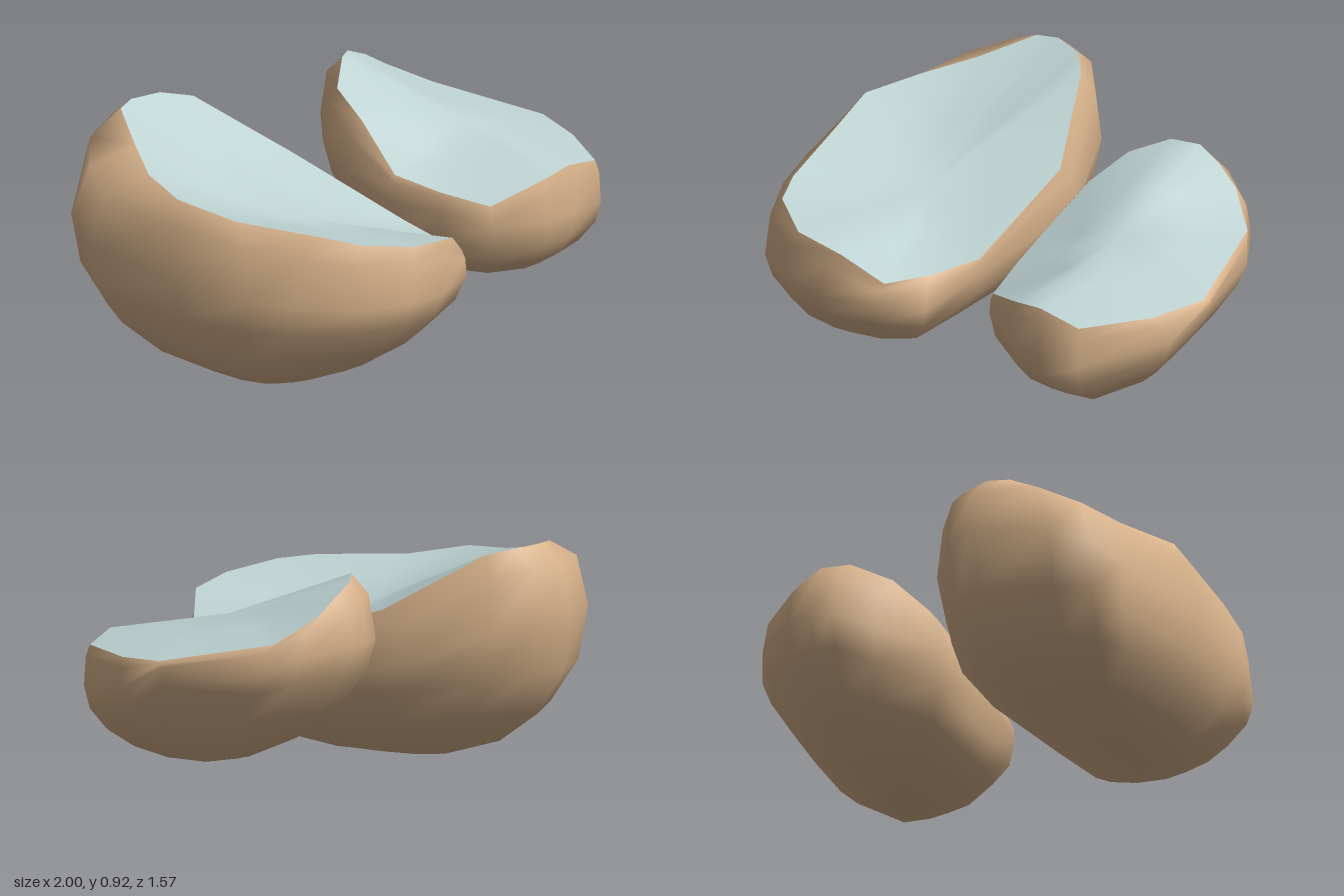
import * as THREE from 'three';
import { mergeVertices } from 'three/addons/utils/BufferGeometryUtils.js';

const shellMaterial = new THREE.MeshStandardMaterial({ color: 0xd9b48c });
const liningMaterial = new THREE.MeshStandardMaterial({ color: 0xbfd4d4 });

// Blend two points, with separate weights across (x, z) and up (y)
const blend = (a, b, across, up) => [
  a[0] + (b[0] - a[0]) * across,
  a[1] + (b[1] - a[1]) * up,
  a[2] + (b[2] - a[2]) * across,
];

// Skin a stack of closed rings; a ring collapsed to one point closes the end
function skin(rings) {
  const n = rings[0].length;
  const index = [];
  for (let i = 0; i < rings.length - 1; i++) {
    for (let j = 0; j < n; j++) {
      const a = i * n + j, b = i * n + (j + 1) % n;
      index.push(a, b, b + n, a, b + n, a + n);
    }
  }
  let geometry = new THREE.BufferGeometry();
  geometry.setAttribute('position', new THREE.Float32BufferAttribute(rings.flat(2), 3));
  geometry.setIndex(index);
  geometry = mergeVertices(geometry);
  geometry.computeVertexNormals();
  return geometry;
}

// One broken half: rounded outer shell up to a wavy rim, shallow lining across it
function makeHalf(name, { rim, belly, keel, floor }) {
  // Below the belly each column is a superellipse; its 4th value is the fullness
  const outer = [0, 0.2, 0.4, 0.6, 0.8, 1].map((t) => {
    const a = t * Math.PI / 2;
    return belly.map((p) => blend(keel, p,
      Math.sin(a) ** (2 / p[3]), 1 - Math.max(0, Math.cos(a)) ** (2 / p[3])));
  });
  for (const t of [0.5, 1]) {
    const a = t * Math.PI / 2;
    outer.push(belly.map((p, j) => blend(p, rim[j], 1 - Math.cos(a), Math.sin(a))));
  }
  const inner = [1, 0.5, 0].map((s) => rim.map((p) => blend(floor, p, s, s)));

  const half = new THREE.Group();
  half.name = name;
  const shell = new THREE.Mesh(skin(outer), shellMaterial);
  shell.name = 'outerShell';
  const lining = new THREE.Mesh(skin(inner), liningMaterial);
  lining.name = 'innerLining';
  half.add(shell, lining);
  return half;
}

// Loops run from the back, round by -x to the front, and back by +x
const large = {
  rim: [
    [-0.45, 0.91, -0.67], [-0.54, 0.9, -0.65], [-0.68, 0.83, -0.48], [-0.82, 0.78, -0.31],
    [-0.92, 0.75, -0.1], [-0.88, 0.7, 0.14], [-0.79, 0.68, 0.48], [-0.73, 0.66, 0.62],
    [-0.55, 0.63, 0.74], [-0.33, 0.61, 0.75], [-0.18, 0.51, 0.68], [-0.1, 0.5, 0.5],
    [-0.03, 0.51, 0.3], [-0.05, 0.68, -0.2], [-0.23, 0.89, -0.54], [-0.32, 0.91, -0.63],
  ],
  belly: [
    [-0.45, 0.66, -0.79, 2.3], [-0.75, 0.62, -0.7, 2.2], [-0.88, 0.58, -0.63, 2.1],
    [-0.95, 0.5, -0.5, 2.1], [-1, 0.45, -0.05, 2.1], [-0.96, 0.42, 0.25, 2],
    [-0.91, 0.42, 0.42, 1.8], [-0.78, 0.42, 0.66, 1.6], [-0.6, 0.42, 0.76, 1.6],
    [-0.42, 0.42, 0.78, 1.6], [-0.2, 0.42, 0.72, 1.6], [-0.07, 0.38, 0.57, 1.6],
    [-0.03, 0.44, 0.3, 1.6], [-0.05, 0.48, -0.3, 1.7], [-0.18, 0.6, -0.6, 2],
    [-0.32, 0.66, -0.74, 2.2],
  ],
  keel: [-0.62, 0, 0.13],
  floor: [-0.45, 0.59, 0.1],
};

const small = {
  rim: [
    [0.5, 0.91, -0.36], [0.4, 0.92, -0.31], [0.26, 0.85, -0.23], [0.2, 0.77, -0.07],
    [0.14, 0.61, 0.13], [0.17, 0.57, 0.32], [0.22, 0.54, 0.52], [0.42, 0.62, 0.63],
    [0.55, 0.64, 0.64], [0.73, 0.61, 0.63], [0.9, 0.62, 0.4], [0.98, 0.64, 0.2],
    [0.85, 0.72, -0.22], [0.7, 0.81, -0.33], [0.6, 0.87, -0.35],
  ],
  belly: [
    [0.5, 0.68, -0.43, 1.6], [0.41, 0.68, -0.42, 1.7], [0.29, 0.62, -0.32, 1.8],
    [0.13, 0.58, -0.1, 2.2], [0.13, 0.5, 0.13, 2.4], [0.16, 0.5, 0.33, 2.4],
    [0.21, 0.46, 0.53, 2.2], [0.42, 0.45, 0.65, 2.2], [0.56, 0.45, 0.66, 2.2],
    [0.74, 0.45, 0.65, 2], [0.96, 0.52, 0.37, 1.5], [1, 0.62, 0.18, 1.35],
    [0.88, 0.6, -0.18, 1.4], [0.8, 0.66, -0.3, 1.5], [0.6, 0.68, -0.43, 1.6],
  ],
  keel: [0.57, 0.17, 0.22],
  floor: [0.52, 0.74, 0.15],
};

export function createModel() {
  const model = new THREE.Group();
  model.name = 'brokenShellHalves';
  model.add(makeHalf('largeHalf', large), makeHalf('smallHalf', small));
  return model;
}
